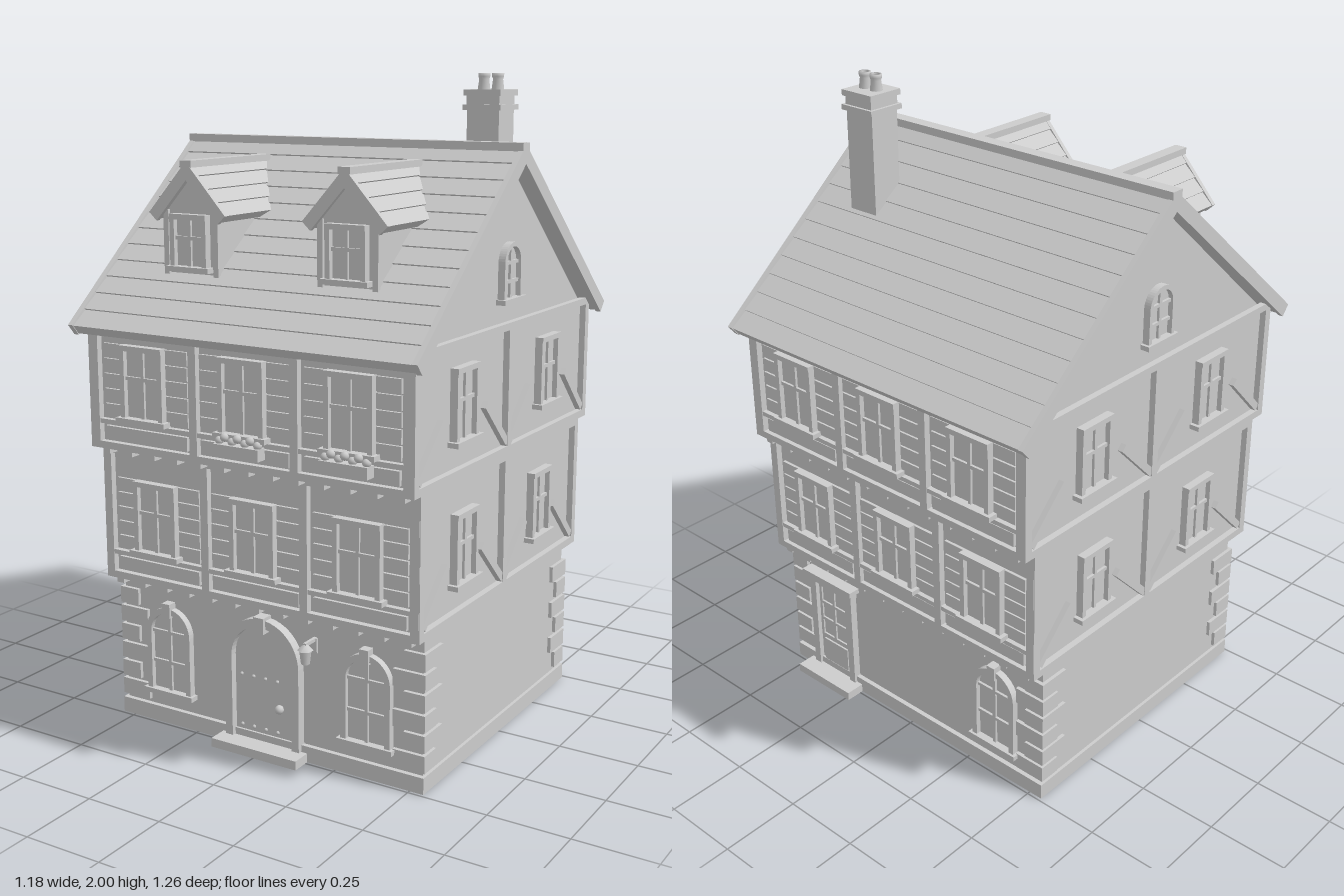
import * as THREE from 'three';

const stone = new THREE.MeshStandardMaterial({ color: 0xcccccc });
stone.name = 'pale grey';

function add(parent, name, geo, x = 0, y = 0, z = 0) {
  const m = new THREE.Mesh(geo, stone);
  m.name = name;
  m.position.set(x, y, z);
  parent.add(m);
  return m;
}
const box = (p, name, w, h, d, x, y, z) => add(p, name, new THREE.BoxGeometry(w, h, d), x, y, z);
const cyl = (p, name, r1, r2, h, n, x, y, z) => add(p, name, new THREE.CylinderGeometry(r1, r2, h, n), x, y, z);
const extrude = (shape, depth) =>
  new THREE.ExtrudeGeometry(shape, { depth, bevelEnabled: false, curveSegments: 12 });

function group(parent, name, x = 0, y = 0, z = 0, ry = 0) {
  const g = new THREE.Group();
  g.name = name;
  g.position.set(x, y, z);
  g.rotation.y = ry;
  parent.add(g);
  return g;
}

// Roof cross-section: two slopes of lapped courses meeting at a peak
function roofShape(halfW, peak, slope, t, n, step) {
  const a = Math.atan(slope), c = Math.cos(a), s = Math.sin(a), L = halfW / c;
  const at = (u, v) => [u * c + v * s, peak - u * s + v * c];
  const right = [];
  for (let i = 0; i < n; i++) {
    if (i) right.push(at(L * i / n, -step));
    right.push(at(L * (i + 1) / n, 0));
  }
  right.push(at(L, -t));
  const left = right.map(([x, y]) => [-x, y]).reverse();
  const pts = [[0, peak], ...right, [0, peak - t / c], ...left];
  return new THREE.Shape(pts.map(p => new THREE.Vector2(...p)));
}

// Solid and hollow arches, springing at y = s
function archShape(r, y0, s) {
  const sh = new THREE.Shape();
  sh.moveTo(-r, y0);
  sh.lineTo(r, y0);
  sh.lineTo(r, s);
  sh.absarc(0, s, r, 0, Math.PI, false);
  return sh;
}
function archFrame(R, r, y0, s) {
  const sh = new THREE.Shape();
  sh.moveTo(-R, y0);
  sh.lineTo(-R, s);
  sh.absarc(0, s, R, Math.PI, 0, true);
  sh.lineTo(R, y0);
  sh.lineTo(r, y0);
  sh.lineTo(r, s);
  sh.absarc(0, s, r, 0, Math.PI, false);
  sh.lineTo(-r, y0);
  return sh;
}

// Casement window with its bottom centre at the group origin
function casement(parent, x, y, z, w, h) {
  const g = group(parent, 'casementWindow', x, y, z), f = 0.016;
  for (const s of [-1, 1]) box(g, 'windowJamb', f, h, 0.024, s * (w - f) / 2, h / 2, 0.012);
  box(g, 'windowHead', w, f, 0.026, 0, h - f / 2, 0.013);
  box(g, 'windowSill', w + 0.025, 0.015, 0.034, 0, 0, 0.017);
  box(g, 'windowPane', w - f, h - f, 0.008, 0, h / 2, 0.004);
  box(g, 'mullion', 0.011, h - f, 0.016, 0, h / 2, 0.008);
  box(g, 'transom', w - f, 0.011, 0.016, 0, h * 0.56, 0.008);
}

function archWindow(parent, x, y, z, R, h, key) {
  const g = group(parent, 'archedWindow', x, y, z), s = h - R, r = R * 0.78;
  add(g, 'archSurround', extrude(archFrame(R, r, 0, s), 0.022));
  add(g, 'windowPane', extrude(archShape(r, 0, s), 0.006));
  box(g, 'mullion', 0.011, s + r * 0.95, 0.014, 0, (s + r * 0.95) / 2, 0.007);
  for (const k of [0.5, 1]) box(g, 'transom', r * 2, 0.01, 0.014, 0, s * k, 0.007);
  box(g, 'windowSill', R * 2 + 0.02, 0.015, 0.03, 0, 0, 0.015);
  if (key) box(g, 'keystone', 0.03, 0.045, 0.03, 0, h - 0.005, 0.015);
}

// Timber-framed front or back of one upper storey
function timberFacade(parent, y0, y1, z) {
  const g = group(parent, 'timberFacade', 0, y0, z);
  const H = y1 - y0;
  for (const x of [-0.537, -0.174, 0.174, 0.537]) box(g, 'post', 0.027, H, 0.02, x, H / 2, 0.01);
  box(g, 'bottomRail', 1.1, 0.022, 0.02, 0, 0.011, 0.01);
  box(g, 'sillRail', 1.1, 0.014, 0.018, 0, 0.084, 0.009);
  box(g, 'topRail', 1.1, 0.025, 0.02, 0, H - 0.0125, 0.01);
  for (const x of [-0.355, 0, 0.355]) {
    box(g, 'apronPanel', 0.305, 0.042, 0.012, x, 0.049, 0.006);
    for (let i = 0; i < 5; i++) box(g, 'board', 0.31, 0.041, 0.009, x, 0.117 + i * 0.046, 0.0045);
    casement(g, x, 0.1, 0.006, 0.155, 0.225);
  }
  // Joist ends under the overhang
  for (let i = 0; i < 13; i++) box(g, 'joistEnd', 0.026, 0.018, 0.07, -0.51 + i * 0.085, -0.009, -0.025);
}

// Timber-framed side of one upper storey
function timberSide(parent, y0, y1, half, winZ) {
  const H = y1 - y0, g = group(parent, 'timberSide', 0, y0, 0);
  for (const x of [-half + 0.013, 0, half - 0.013]) box(g, 'post', 0.026, H, 0.02, x, H / 2, 0.01);
  box(g, 'bottomRail', half * 2, 0.024, 0.02, 0, 0.012, 0.01);
  box(g, 'topRail', half * 2, 0.022, 0.02, 0, H - 0.011, 0.01);
  for (const s of [-1, 1]) {
    casement(g, s * winZ, 0.1, 0, 0.135, 0.215);
    const outer = box(g, 'brace', 0.2, 0.024, 0.018, s * (half - 0.1), 0.105, 0.009);
    outer.rotation.z = -s * Math.PI / 4;
    const inner = box(g, 'brace', 0.2, 0.024, 0.018, s * 0.08, 0.105, 0.009);
    inner.rotation.z = s * Math.PI / 4;
  }
}

function dormer(parent, x) {
  const g = group(parent, 'dormer', x, 0, 0);
  const wall = new THREE.Shape([[-0.095, 1.42], [0.095, 1.42], [0.095, 1.61], [0, 1.715], [-0.095, 1.61]]
    .map(p => new THREE.Vector2(...p)));
  add(g, 'dormerWalls', extrude(wall, 0.38), 0, 0, 0.06);
  add(g, 'dormerRoof', extrude(roofShape(0.135, 1.75, 1.1, 0.03, 4, 0.005), 0.395), 0, 0, 0.06);
  add(g, 'dormerBargeboard', extrude(roofShape(0.137, 1.752, 1.1, 0.036, 1, 0), 0.014), 0, 0, 0.452);
  box(g, 'dormerRidge', 0.04, 0.02, 0.405, 0, 1.745, 0.2645);
  casement(g, 0, 1.44, 0.44, 0.13, 0.16);
  for (const s of [-1, 1]) box(g, 'cornerTrim', 0.018, 0.19, 0.012, s * 0.089, 1.515, 0.443);
}

export function createModel() {
  const house = new THREE.Group();
  house.name = 'timberTownHouse';

  // Storeys, each overhanging the one below
  box(house, 'plinth', 1.09, 0.05, 0.98, 0, 0.025, 0);
  box(house, 'groundFloor', 1.07, 0.47, 0.95, 0, 0.235, 0);
  box(house, 'middleFloor', 1.066, 0.425, 1.036, 0, 0.6825, 0);
  box(house, 'upperFloor', 1.076, 0.375, 1.124, 0, 1.0825, 0);
  const gable = new THREE.Shape([[-0.562, 1.265], [0.562, 1.265], [0, 1.75]].map(p => new THREE.Vector2(...p)));
  add(house, 'gableWalls', extrude(gable, 1.076).translate(0, 0, -0.538).rotateY(-Math.PI / 2));

  // Corner stones
  for (const sx of [-1, 1]) for (const sz of [-1, 1]) for (let i = 0; i < 6; i++) {
    const w = i % 2 ? 0.07 : 0.105, d = i % 2 ? 0.105 : 0.07;
    box(house, 'quoin', w, 0.052, d, sx * (0.546 - w / 2), 0.089 + i * 0.0613, sz * (0.487 - d / 2));
  }

  // Front and back facades
  const front = group(house, 'front'), back = group(house, 'back', 0, 0, 0, Math.PI);
  for (const f of [front, back]) {
    timberFacade(f, 0.47, 0.895, 0.518);
    timberFacade(f, 0.895, 1.265, 0.562);
    archWindow(f, 0.355, 0.105, 0.475, 0.083, 0.28, true);
  }
  archWindow(front, -0.355, 0.105, 0.475, 0.083, 0.28, true);

  // Front door
  const door = group(front, 'frontDoor', 0, 0, 0.475);
  add(door, 'doorSurround', extrude(archFrame(0.133, 0.107, 0.03, 0.29), 0.03));
  add(door, 'doorLeaf', extrude(archShape(0.107, 0.03, 0.29), 0.008));
  box(door, 'doorKeystone', 0.036, 0.05, 0.042, 0, 0.407, 0.021);
  box(door, 'doorStep', 0.305, 0.028, 0.09, 0, 0.014, 0.033);
  for (const y of [0.065, 0.228]) for (let i = 0; i < 4; i++)
    add(door, 'stud', new THREE.SphereGeometry(0.006, 8, 6), -0.084 + i * 0.043, y, 0.009);
  add(door, 'doorKnob', new THREE.SphereGeometry(0.014, 12, 8), 0.058, 0.147, 0.02);

  // Wall lantern
  const lamp = group(front, 'lantern', 0.175, 0, 0.475);
  box(lamp, 'lanternPlate', 0.018, 0.045, 0.008, 0, 0.37, 0.004);
  box(lamp, 'lanternArm', 0.01, 0.01, 0.06, 0, 0.39, 0.03);
  cyl(lamp, 'lanternBody', 0.018, 0.013, 0.042, 6, 0, 0.352, 0.055);
  cyl(lamp, 'lanternCap', 0.006, 0.024, 0.018, 6, 0, 0.382, 0.055);

  // Glazed back door
  const rear = group(back, 'backDoor', -0.355, 0, 0.475);
  for (const s of [-1, 1]) box(rear, 'doorJamb', 0.026, 0.35, 0.024, s * 0.084, 0.2, 0.012);
  box(rear, 'doorLintel', 0.2, 0.025, 0.026, 0, 0.37, 0.013);
  box(rear, 'doorCornice', 0.225, 0.016, 0.04, 0, 0.39, 0.02);
  box(rear, 'doorLeaf', 0.142, 0.33, 0.008, 0, 0.193, 0.004);
  box(rear, 'doorPanel', 0.11, 0.085, 0.014, 0, 0.09, 0.007);
  for (const x of [-0.06, 0, 0.06]) box(rear, 'glazingBar', 0.011, 0.2, 0.014, x, 0.25, 0.007);
  for (const y of [0.15, 0.215, 0.28, 0.345]) box(rear, 'glazingBar', 0.13, 0.01, 0.014, 0, y, 0.007);
  box(rear, 'backStep', 0.24, 0.028, 0.085, 0, 0.014, 0.035);

  // Flower boxes
  for (const x of [0, 0.355]) {
    const fb = group(front, 'flowerBox', x, 0, 0.6);
    box(fb, 'planter', 0.155, 0.035, 0.036, 0, 0.957, 0);
    for (let i = 0; i < 7; i++)
      add(fb, 'flower', new THREE.IcosahedronGeometry(0.013, 1), -0.066 + i * 0.022, 0.982 + (i % 2) * 0.012, (i % 2) * 0.006);
  }

  // Gable sides
  for (const s of [-1, 1]) {
    const side = group(house, 'gableSide', s * 0.533, 0, 0, s * Math.PI / 2);
    timberSide(side, 0.47, 0.895, 0.537, 0.257);
    const top = group(side, 'upperSide', 0, 0, 0.005);
    timberSide(top, 0.895, 1.29, 0.582, 0.28);
    archWindow(top, 0, 1.355, 0, 0.06, 0.17, false);
  }

  // Main roof with lapped courses, bargeboards and ridge
  const slope = 0.84;
  const across = (shape, depth) => extrude(shape, depth).translate(0, 0, -depth / 2).rotateY(-Math.PI / 2);
  add(house, 'mainRoof', across(roofShape(0.628, 1.798, slope, 0.034, 12, 0.005), 1.16));
  for (const s of [-1, 1])
    add(house, 'bargeboard', across(roofShape(0.632, 1.803, slope, 0.042, 1, 0), 0.017), s * 0.5815, 0, 0);
  box(house, 'ridgeCap', 1.18, 0.024, 0.042, 0, 1.796, 0);
  for (const x of [-0.268, 0.268]) dormer(house, x);

  // Chimney
  const ch = group(house, 'chimney', 0.376, 0, -0.2);
  box(ch, 'chimneyStack', 0.106, 0.4, 0.102, 0, 1.72, 0);
  box(ch, 'chimneyBand', 0.126, 0.016, 0.124, 0, 1.9, 0);
  box(ch, 'chimneyNeck', 0.108, 0.03, 0.106, 0, 1.921, 0);
  box(ch, 'chimneyCap', 0.122, 0.018, 0.12, 0, 1.943, 0);
  const pot = [[0.019, 0], [0.015, 0.03], [0.018, 0.038], [0.018, 0.048], [0.011, 0.048], [0.011, 0.01], [0, 0.01]]
    .map(p => new THREE.Vector2(...p));
  for (const x of [-0.023, 0.023]) add(ch, 'chimneyPot', new THREE.LatheGeometry(pot, 16), x, 1.952, 0);

  return house;
}
